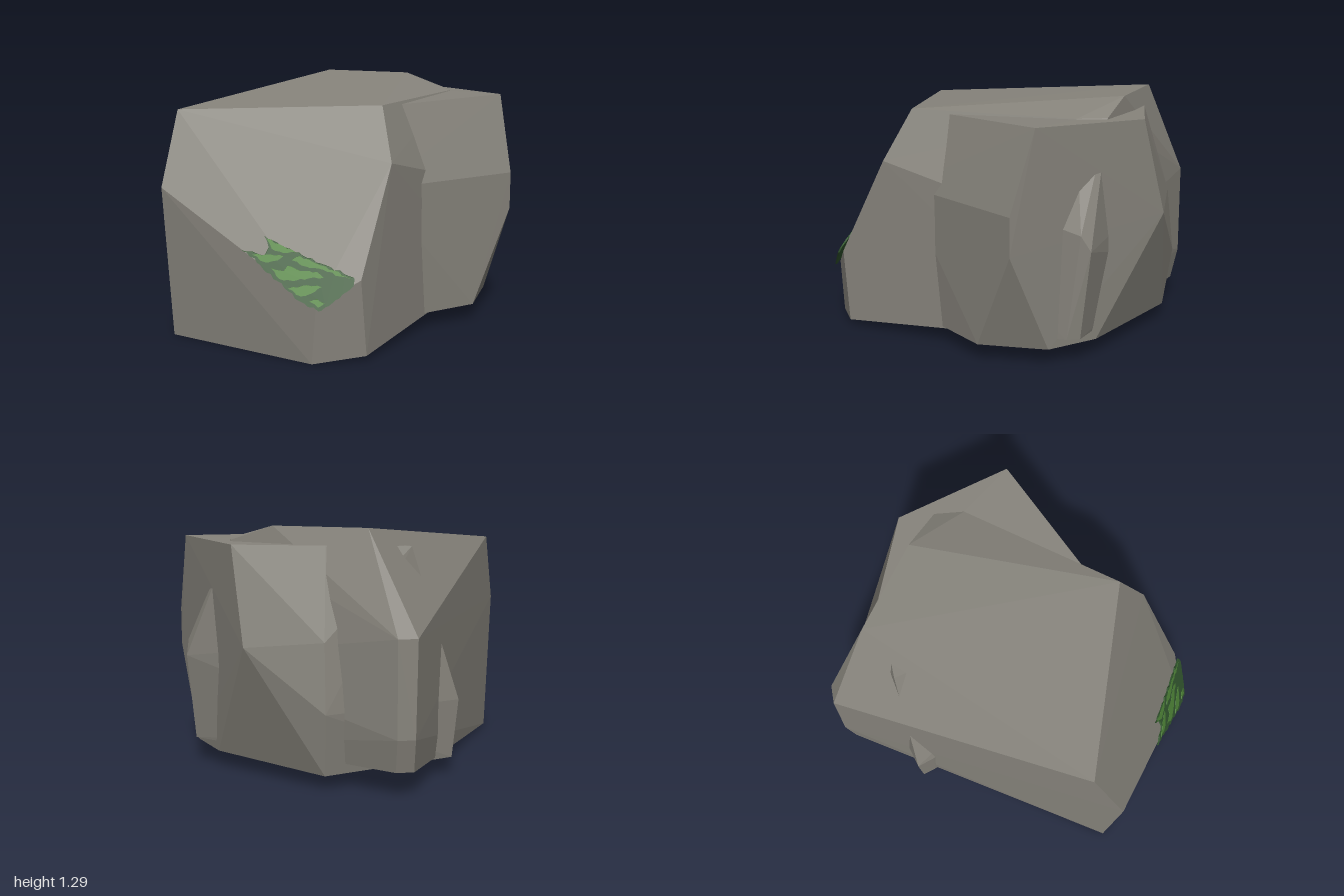
import * as THREE from 'three';
import { ConvexGeometry } from 'three/addons/geometries/ConvexGeometry.js';

const material = (name, color) => {
  const m = new THREE.MeshStandardMaterial({ color });
  m.name = name;
  return m;
};

// Height of the boulder's sloping front face, as z for a given x and y
const slopeZ = (x, y) => 0.5 + (0.246 * (x + 0.94) - 0.488 * (y - 0.8)) / 0.879;

function rock(name, corners, mat) {
  const mesh = new THREE.Mesh(new ConvexGeometry(corners.map((c) => new THREE.Vector3(...c))), mat);
  mesh.name = name;
  return mesh;
}

// Thin plate from an outline in x and y, laid on the sloping front face
function plate(name, outline, lift, depth, mat) {
  const shape = new THREE.Shape(outline.map((p) => new THREE.Vector2(...p)));
  const geo = new THREE.ExtrudeGeometry(shape, { depth, bevelEnabled: false });
  const pos = geo.attributes.position;
  for (let i = 0; i < pos.count; i++) {
    pos.setZ(i, slopeZ(pos.getX(i), pos.getY(i)) + lift + pos.getZ(i));
  }
  geo.computeVertexNormals();
  const mesh = new THREE.Mesh(geo, mat);
  mesh.name = name;
  return mesh;
}

// Adds small ragged steps along an outline
function ragged(outline, amount) {
  const out = [];
  outline.forEach(([x, y], i) => {
    const [u, v] = outline[(i + 1) % outline.length];
    const n = Math.max(1, Math.round(Math.hypot(u - x, v - y) / 0.022));
    for (let k = 0; k < n; k++) {
      const t = k / n;
      const w = k ? amount * Math.sin(k * 2.4 + i * 1.7) : 0;
      out.push([x + (u - x) * t + w * 0.5, y + (v - y) * t + w]);
    }
  });
  return out;
}

export function createModel() {
  const group = new THREE.Group();
  group.name = 'mossyBoulder';
  const stone = material('stone grey', 0x87847c);
  const darkMoss = material('dark moss', 0x33582f);
  const lightMoss = material('light moss', 0x4f8438);

  // Large boulder, set diagonally
  group.add(rock('mainBoulder', [
    // top
    [-0.86, 1.18, 0.33], [0.18, 1.22, 0.58], [0.66, 1.22, -0.2],
    [0.66, 1.22, -0.36], [0.45, 1.3, -0.5], [0, 1.3, -0.76],
    // front
    [-0.94, 0.8, 0.5], [0.21, 0.95, 0.74], [-0.18, 0.3, 0.985], [0.04, 0.42, 0.965],
    // back and right corners
    [-0.21, 0.79, -0.99], [-0.11, 0.79, -1], [-0.2, 0.3, -1], [-0.11, 0.3, -1],
    [0.89, 0.68, -0.18], [0.9, 0.6, -0.23],
    // base
    [-0.9, 0.005, 0.46], [-0.2, 0.005, 0.97], [0.07, 0.03, 0.94],
    [0.86, 0.14, -0.12], [0.86, 0.14, -0.19], [-0.2, 0.13, -0.96], [-0.11, 0.13, -0.96],
  ], stone));

  // Smaller boulder, running through the large one
  group.add(rock('sideBoulder', [
    // top
    [0.9, 1.22, 0.05], [0.15, 1.2, 0.48], [0.66, 1.21, -0.55],
    [0.2, 1.21, -0.68], [-0.24, 1.2, -0.62],
    // sides
    [0.94, 0.8, 0.18], [0.94, 0.6, 0.18], [0.15, 0.8, 0.63], [0.61, 0.71, -0.68],
    [0.22, 0.75, -0.82], [0.22, 0.4, -0.86], [-0.5, 0.4, -0.58], [-0.46, 0.4, -0.49],
    // base
    [0.85, 0.09, -0.03], [0.72, 0.09, 0.31], [0.15, 0.09, 0.6],
    [0.74, 0.09, -0.3], [0.22, 0.08, -0.81], [-0.47, 0.09, -0.57], [-0.44, 0.09, -0.5],
  ], stone));

  // Patch of moss with a forked end
  group.add(plate('mossPatch', ragged([
    [-0.53, 0.53], [-0.47, 0.5], [-0.43, 0.455], [-0.36, 0.405], [-0.26, 0.325],
    [-0.17, 0.285], [-0.12, 0.31], [0, 0.4], [0.005, 0.435], [-0.15, 0.49],
    [-0.34, 0.56], [-0.42, 0.6], [-0.4, 0.55], [-0.42, 0.515], [-0.46, 0.52],
  ], 0.005), 0.002, 0.009, darkMoss));

  // Lighter blotches on the moss
  const blotches = [
    [[-0.41, 0.59], [-0.385, 0.545], [-0.33, 0.53], [-0.27, 0.535], [-0.33, 0.56]],
    [[-0.48, 0.515], [-0.42, 0.485], [-0.36, 0.495], [-0.33, 0.515], [-0.39, 0.52]],
    [[-0.39, 0.46], [-0.35, 0.415], [-0.29, 0.41], [-0.21, 0.425], [-0.14, 0.43],
      [-0.17, 0.455], [-0.25, 0.455], [-0.31, 0.475], [-0.33, 0.45]],
    [[-0.29, 0.5], [-0.22, 0.475], [-0.14, 0.465], [-0.06, 0.44], [-0.01, 0.43],
      [-0.09, 0.465], [-0.17, 0.49], [-0.25, 0.52]],
    [[-0.31, 0.375], [-0.25, 0.345], [-0.2, 0.36], [-0.15, 0.39], [-0.22, 0.395]],
    [[-0.21, 0.325], [-0.17, 0.302], [-0.14, 0.32], [-0.17, 0.335]],
  ];
  blotches.forEach((b, i) => group.add(plate('mossBlotch' + (i + 1), ragged(b, 0.004), 0.011, 0.002, lightMoss)));

  return group;
}
